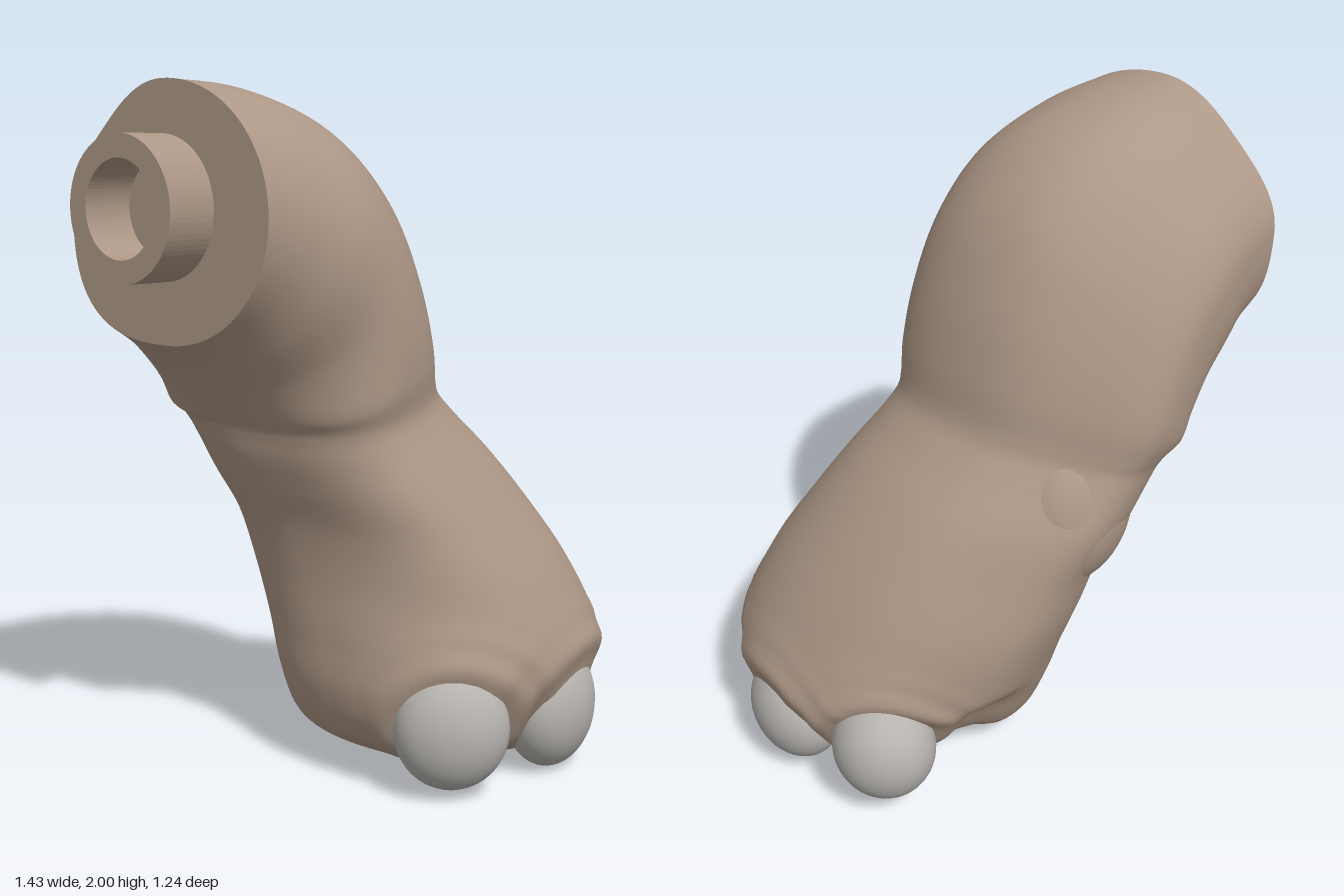
import * as THREE from 'three';

const skin = new THREE.MeshStandardMaterial({ color: 0xad9786 });
const horn = new THREE.MeshStandardMaterial({ color: 0xb6b3af });

// Toenails: centre, radii (width, height, depth), outward heading
const NAILS = [
  { pos: [-0.105, 0.205, 0.425], r: [0.165, 0.175, 0.115], turn: -0.8 },
  { pos: [0.29, 0.195, 0.485], r: [0.175, 0.19, 0.13], turn: 0.2 },
  { pos: [0.58, 0.215, 0.215], r: [0.17, 0.165, 0.13], turn: 1.35 },
  { pos: [0.565, 0.25, -0.135], r: [0.155, 0.17, 0.14], turn: 1.95 },
];

// Cross-sections from hip to sole: outer x, y, back z | inner x, y, front z
const SECTIONS = [
  [-0.56, 2.0, -0.61, -0.56, 1.28, 0.17],
  [-0.38, 1.985, -0.61, -0.51, 1.24, 0.215],
  [-0.17, 1.91, -0.62, -0.47, 1.2, 0.265],
  [0.0, 1.755, -0.615, -0.42, 1.14, 0.285],
  [0.11, 1.53, -0.61, -0.38, 1.09, 0.295],
  [0.165, 1.32, -0.6, -0.35, 1.05, 0.29],
  [0.187, 1.19, -0.575, -0.335, 1.03, 0.277],
  [0.205, 1.145, -0.56, -0.328, 1.0, 0.277],
  [0.26, 1.08, -0.55, -0.32, 0.95, 0.3],
  [0.37, 0.96, -0.53, -0.295, 0.86, 0.36],
  [0.49, 0.79, -0.48, -0.26, 0.74, 0.44],
  [0.59, 0.61, -0.445, -0.245, 0.59, 0.53],
  [0.665, 0.42, -0.39, -0.25, 0.42, 0.592],
  [0.67, 0.28, -0.345, -0.25, 0.28, 0.585],
  [0.61, 0.15, -0.29, -0.21, 0.15, 0.53],
  [0.5, 0.075, -0.22, -0.11, 0.075, 0.45],
  [0.36, 0.045, -0.08, 0.02, 0.045, 0.3],
  [0.17, 0.04, 0.12, 0.17, 0.04, 0.12],
];

const SEG = 112;
const { smoothstep } = THREE.MathUtils;

// One closed rounded section, oval in the thigh and fuller in the foot
function ring([ax, ay, z0, bx, by, z1]) {
  const power = 2 / (2.22 - 0.2 * smoothstep(ay, 1.1, 1.6));
  const soft = (v) => Math.sign(v) * Math.pow(Math.abs(v), power);
  // Corner shaping: slim outer back, full inner front, full inner back of the thigh
  const slim = 0.07 + 0.03 * smoothstep(ay, 0.5, 0.9);
  const front = 0.1 * smoothstep(ay, 0.5, 1.0) * (1 - smoothstep(ay, 1.3, 1.8));
  const back = 0.09 * smoothstep(ay, 1.05, 1.3);
  const pts = [];
  for (let i = 0; i < SEG; i++) {
    const t = (i / SEG) * Math.PI * 2;
    const corner = Math.sin(2 * t) ** 2;
    const isOuter = Math.cos(t) > 0, isFront = Math.sin(t) > 0;
    let k = 0.5;
    if (isOuter && !isFront) k *= 1 - slim * corner;
    if (!isOuter) k *= 1 + (isFront ? front : back) * corner;
    const c = soft(Math.cos(t)) * k, s = soft(Math.sin(t)) * k;
    pts.push(new THREE.Vector3(
      (ax + bx) / 2 + (ax - bx) * c, (ay + by) / 2 + (ay - by) * c, (z0 + z1) / 2 + (z1 - z0) * s));
  }
  return pts;
}

// Skin between successive rings
function loft(rings) {
  const index = [];
  for (let j = 0; j < rings.length - 1; j++) {
    for (let i = 0; i < SEG; i++) {
      const a = j * SEG + i, b = j * SEG + ((i + 1) % SEG);
      index.push(a, b, a + SEG, b, b + SEG, a + SEG);
    }
  }
  const geo = new THREE.BufferGeometry().setFromPoints(rings.flat());
  geo.setIndex(index);
  geo.computeVertexNormals();
  return geo;
}

const bell = (v, width) => Math.exp(-((v / width) ** 2));

function legGeometry() {
  const outer = new THREE.CatmullRomCurve3(SECTIONS.map((s) => new THREE.Vector3(s[0], s[1], s[2])));
  const inner = new THREE.CatmullRomCurve3(SECTIONS.map((s) => new THREE.Vector3(s[3], s[4], s[5])));
  const rings = [];
  const N = 136;
  for (let j = 0; j <= N; j++) {
    rings.push(ring([...outer.getPoint(j / N).toArray(), ...inner.getPoint(j / N).toArray()]));
  }
  const axis = new THREE.Vector3(0.19, 0, 0.11);
  const centres = NAILS.map((n) => new THREE.Vector3(...n.pos));
  // Grooves between the toes, and one beside the heel
  const grooves = centres.slice(1).map((c, i) => c.clone().lerp(centres[i], 0.5).sub(axis).setY(0).normalize());
  grooves.push(new THREE.Vector3(0.25, 0, -0.97));
  for (const p of rings.flat()) {
    if (p.y > 0.75) continue;
    const out = p.clone().sub(axis).setY(0);
    const reach = smoothstep(out.length(), 0.05, 0.3);
    out.normalize();
    const low = smoothstep(0.42 - p.y, 0, 0.25);
    let push = 0;
    // Soft folds of skin round each nail
    centres.forEach((c, i) => {
      if (out.dot(c.clone().sub(axis)) < 0) return;
      const d = p.clone().sub(c);
      const dist = Math.sqrt(Math.max(0, d.lengthSq() - d.dot(out) ** 2));
      const rim = NAILS[i].r[1] + 0.015;
      push += 0.02 * bell(dist - rim, 0.045);
      if (d.y > 0) push += 0.005 * bell(dist - rim - 0.085, 0.025);
    });
    for (const g of grooves) push -= 0.035 * low * bell(1 - g.dot(out), 0.025);
    p.addScaledVector(out, push * reach);
    // Sole lifts towards the outer back, leaving the heel low
    p.y += 0.22 * low * smoothstep(p.x, 0.05, 0.35) * Math.max(0, 0.1 - p.z);
  }
  return loft(rings);
}

export function createModel() {
  const group = new THREE.Group();
  const add = (name, geo, mat) => {
    const mesh = new THREE.Mesh(geo, mat);
    mesh.name = name;
    group.add(mesh);
    return mesh;
  };

  add('leg', legGeometry(), skin);

  // Flat face at the hip
  const edge = ring(SECTIONS[0]);
  const middle = edge.map(() => new THREE.Vector3(-0.56, 1.64, -0.22));
  add('hipFace', loft([middle, edge]), skin);

  // Hollow joint peg
  const tube = new THREE.Shape().absarc(0, 0, 0.2, 0, Math.PI * 2);
  tube.holes.push(new THREE.Path().absarc(0, 0, 0.135, 0, Math.PI * 2, true));
  const peg = add('jointPeg', new THREE.ExtrudeGeometry(tube, { depth: 0.17, bevelEnabled: false, curveSegments: 40 }), skin);
  peg.rotation.y = -Math.PI / 2;
  peg.position.set(-0.545, 1.655, -0.23);

  // Fold of flesh hanging behind the joint
  const fold = add('jointFold', new THREE.SphereGeometry(1, 40, 28), skin);
  fold.scale.set(0.2, 0.25, 0.17);
  fold.position.set(0.01, 0.93, -0.365);
  fold.rotation.z = 0.15;

  // Toenails
  NAILS.forEach((n, i) => {
    const nail = add('toenail' + (i + 1), new THREE.SphereGeometry(1, 36, 24), horn);
    nail.scale.set(...n.r);
    nail.position.set(...n.pos);
    nail.rotation.y = n.turn;
  });

  return group;
}
